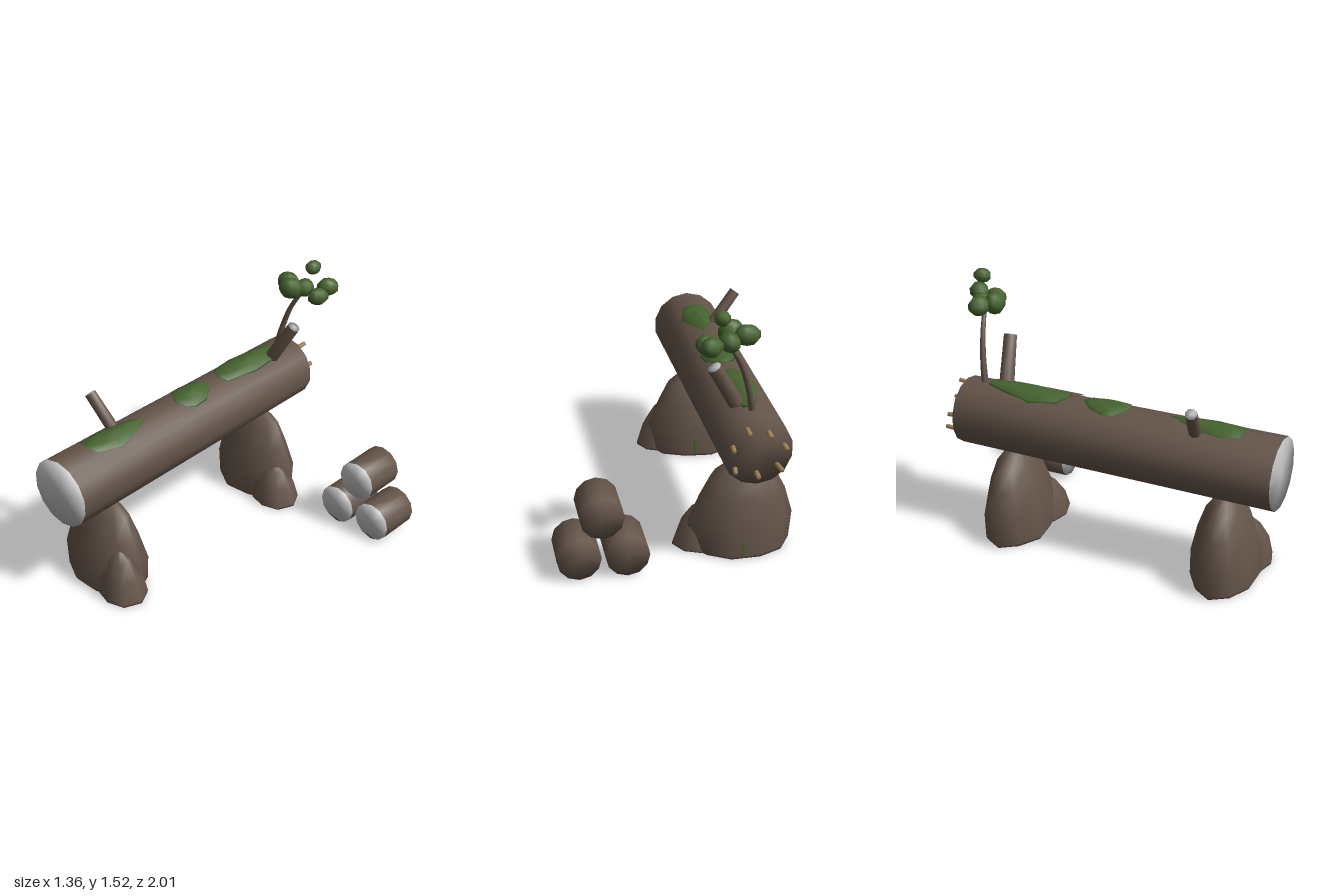
import * as THREE from 'three';
import { mergeVertices } from 'three/addons/utils/BufferGeometryUtils.js';

const material = (name, color) => {
  const m = new THREE.MeshStandardMaterial({ color });
  m.name = name;
  return m;
};
const V = (p) => new THREE.Vector3(...p);

// Weld shared corners so shading rolls softly over the edges
function soften(geo) {
  geo.deleteAttribute('uv');
  geo.deleteAttribute('normal');
  const g = mergeVertices(geo, 1e-4);
  g.computeVertexNormals();
  return g;
}

// Skin over closed rings (counter-clockwise from above), fanned shut at both ends
function loft(rings) {
  const n = rings[0].length, pos = [], idx = [];
  rings.forEach((r) => r.forEach((p) => pos.push(...p)));
  for (let j = 0; j < rings.length - 1; j++) {
    for (let i = 0; i < n; i++) {
      const a = j * n + i, b = j * n + (i + 1) % n;
      idx.push(a, b, b + n, a, b + n, a + n);
    }
  }
  const last = (rings.length - 1) * n;
  for (let i = 1; i < n - 1; i++) {
    idx.push(0, i + 1, i, last, last + i, last + i + 1);
  }
  const g = new THREE.BufferGeometry();
  g.setAttribute('position', new THREE.Float32BufferAttribute(pos, 3));
  g.setIndex(idx);
  g.computeVertexNormals();
  return g;
}

export function createModel() {
  const group = new THREE.Group();
  const bark = material('bark', 0x65554a);
  const cut = material('cutWood', 0xc6c6c6);
  const moss = material('moss', 0x46632f);
  const root = material('rootWood', 0xa08358);

  const add = (name, geo, mat) => {
    const mesh = new THREE.Mesh(geo, mat);
    mesh.name = name;
    group.add(mesh);
    return mesh;
  };

  // Round timber from a to b; the end at b takes its own material
  function timber(name, a, b, ra, rb, sides, side, end) {
    const from = V(a), to = V(b), dir = to.clone().sub(from);
    const geo = soften(new THREE.CylinderGeometry(rb, ra, dir.length(), sides));
    const mesh = add(name, geo, [side, end, side]);
    mesh.position.copy(from).add(to).multiplyScalar(0.5);
    mesh.quaternion.setFromUnitVectors(new THREE.Vector3(0, 1, 0), dir.normalize());
    return mesh;
  }

  // Fallen trunk and its two broken branches
  const cx = -0.39, cy = 0.721;
  timber('trunk', [cx, cy + 0.002, -0.9], [cx, cy, 1], 0.194, 0.206, 14, bark, cut);
  timber('frontBranch', [-0.43, 0.86, 0.525], [-0.6, 1.083, 0.56], 0.037, 0.034, 8, bark, cut);
  timber('rearBranch', [-0.345, 0.87, -0.675], [-0.19, 1.14, -0.72], 0.045, 0.039, 8, bark, cut);

  // Ring of snapped roots on the rear end
  for (let i = 0; i < 7; i++) {
    const a = (i / 7) * Math.PI * 2 + 0.25, r = 0.135 + 0.012 * Math.sin(i * 2.3);
    const x = cx + r * Math.cos(a), y = cy + r * Math.sin(a);
    timber('root', [x, y, -0.87], [x + 0.01 * Math.cos(a), y + 0.012 * Math.sin(a * 2),
      -0.965 - 0.025 * Math.sin(i * 1.9)], 0.015, 0.013, 6, root, root);
  }

  // Boulders: each section is [y, centre x, centre z, half width, half depth]
  function boulder(name, sections, sides, twist) {
    add(name, loft(sections.map(([y, x, z, rx, rz]) =>
      Array.from({ length: sides }, (_, i) => {
        const a = (i / sides) * Math.PI * 2;
        const k = 1 + 0.04 * Math.sin(i * 2.7 + twist);
        return [x + rx * k * Math.cos(a), y, z - rz * k * Math.sin(a)];
      }))), bark);
  }
  [['front', 0.7, 0], ['rear', -0.6, 1.5]].forEach(([end, z, twist]) => {
    boulder(end + 'Boulder', [
      [0, -0.38, z, 0.265, 0.175],
      [0.02, -0.38, z, 0.275, 0.185],
      [0.18, -0.38, z, 0.29, 0.18],
      [0.34, -0.39, z - 0.005, 0.235, 0.14],
      [0.46, -0.39, z - 0.01, 0.175, 0.095],
      [0.535, -0.385, z - 0.01, 0.07, 0.04],
    ], 10, twist);
  });
  [['front', -0.175, 0.765, 0.3], ['rear', -0.155, -0.54, 0.26]].forEach(([end, x, z, h]) => {
    boulder(end + 'SmallBoulder', [
      [0, x, z, 0.145, 0.135],
      [0.05 * h, x, z, 0.145, 0.14],
      [0.45 * h, x - 0.01, z, 0.12, 0.12],
      [0.8 * h, x - 0.025, z, 0.075, 0.065],
      [h, x - 0.03, z, 0.015, 0.015],
    ], 8, 1);
  });
  // Slivers of moss in the rock cracks
  [[-0.36, 0.06, -0.772], [-0.36, 0.07, 0.525]].forEach((p) => {
    add('crackMoss', new THREE.BoxGeometry(0.012, 0.09, 0.03), moss).position.set(...p);
  });

  // Moss cushions draped over the trunk: outlines in x, z seen from above
  const drape = (x, z, lift) =>
    [x, cy + Math.sqrt(0.2 ** 2 - (x - cx) ** 2) + lift, z];
  [
    [[-0.29, -0.5], [-0.3, -0.65], [-0.35, -0.75], [-0.41, -0.75], [-0.45, -0.62],
      [-0.488, -0.46], [-0.46, -0.3], [-0.385, -0.25], [-0.315, -0.27]],
    [[-0.28, 0.04], [-0.285, -0.06], [-0.33, -0.13], [-0.39, -0.16], [-0.44, -0.11],
      [-0.478, -0.02], [-0.475, 0.05], [-0.38, 0.12], [-0.3, 0.09]],
    [[-0.28, 0.62], [-0.31, 0.5], [-0.37, 0.36], [-0.41, 0.43], [-0.45, 0.54],
      [-0.47, 0.66], [-0.455, 0.78], [-0.39, 0.79], [-0.32, 0.775]],
  ].forEach((outline) => {
    const mx = outline.reduce((s, p) => s + p[0], 0) / outline.length;
    const mz = outline.reduce((s, p) => s + p[1], 0) / outline.length;
    const ring = (k, lift) => outline.map(([x, z]) =>
      drape(mx + (x - mx) * k, mz + (z - mz) * k, lift));
    add('mossPatch', loft([ring(1, -0.01), ring(0.98, 0.008), ring(0.6, 0.015), ring(0.05, 0.02)]), moss);
  });

  // Sapling stem, tapered along its curve
  const curve = new THREE.CatmullRomCurve3(
    [[-0.388, 0.88, -0.785], [-0.355, 1.05, -0.81], [-0.305, 1.2, -0.83], [-0.235, 1.32, -0.85]].map(V));
  const stem = new THREE.TubeGeometry(curve, 10, 1, 7);
  const sp = stem.attributes.position;
  for (let i = 0; i < sp.count; i++) {
    const t = Math.floor(i / 8) / 10, c = curve.getPointAt(t);
    const v = new THREE.Vector3().fromBufferAttribute(sp, i).sub(c)
      .multiplyScalar(0.021 - 0.009 * t).add(c);
    sp.setXYZ(i, v.x, v.y, v.z);
  }
  add('saplingStem', stem, bark);

  // Leaf clumps: centre and half width
  [
    [-0.335, 1.355, -0.83, 0.075], [-0.265, 1.357, -0.768, 0.075],
    [-0.125, 1.348, -0.948, 0.07], [-0.115, 1.325, -0.845, 0.068],
    [-0.19, 1.477, -0.885, 0.055], [-0.235, 1.335, -0.865, 0.07],
  ].forEach(([x, y, z, r], i) => {
    const leaf = add('leafClump', soften(new THREE.SphereGeometry(1, 7, 5)), moss);
    leaf.scale.set(r, i === 1 ? 0.065 : r * 0.75, r * 0.82);
    leaf.rotation.y = i * 1.3 * 0.3;
    leaf.position.set(x, y, z);
  });

  // Stacked short logs
  [[0.295, 0.13], [0.56, 0.13], [0.432, 0.368]].forEach(([x, y], i) => {
    timber('stackedLog', [x, y, -0.848], [x, y, -0.6], 0.122, 0.122, 12, bark, cut);
    if (i < 2) {
      // Strip of bark left on the lower edge of the cut
      const chip = new THREE.Shape([[-0.05, -0.095], [0, -0.12], [0.04, -0.115]]
        .map(([u, v]) => new THREE.Vector2(x + u, y + v)));
      add('barkChip', new THREE.ShapeGeometry(chip), bark).position.z = -0.598;
    }
  });

  return group;
}
